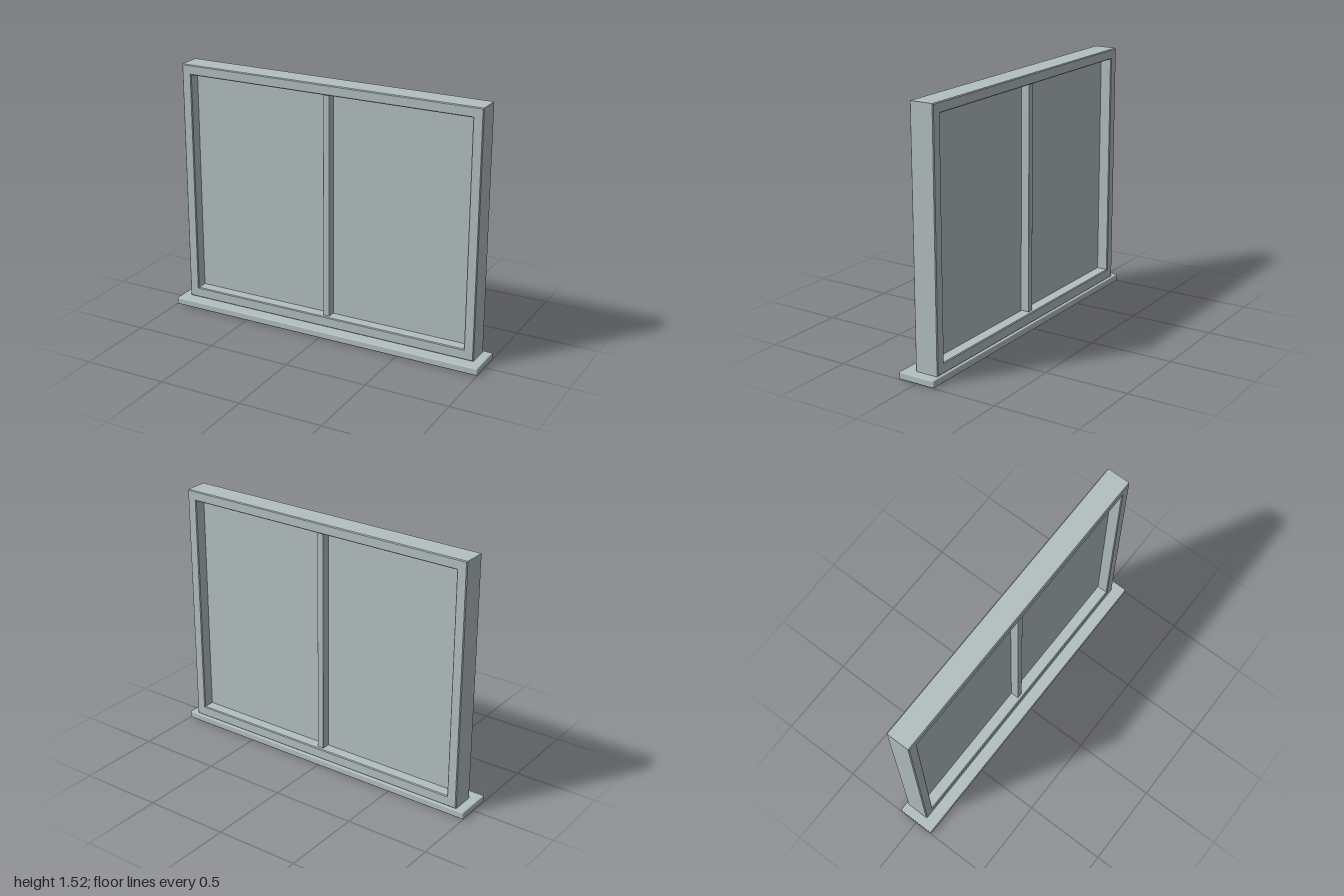
import * as THREE from 'three';
import { RoundedBoxGeometry } from 'three/addons/geometries/RoundedBoxGeometry.js';

// Traces a rectangle onto a shape or path
function rect(path, x0, y0, x1, y1) {
  path.moveTo(x0, y0);
  path.lineTo(x1, y0);
  path.lineTo(x1, y1);
  path.lineTo(x0, y1);
  path.closePath();
  return path;
}

export function createModel() {
  const group = new THREE.Group();
  const paint = new THREE.MeshStandardMaterial({ color: 0xb4bfc0 });
  paint.name = 'pale grey';

  const add = (name, geometry, x, y, z) => {
    const mesh = new THREE.Mesh(geometry, paint);
    mesh.name = name;
    mesh.position.set(x, y, z);
    group.add(mesh);
  };

  const midZ = -0.03;   // centre plane of the window
  const depth = 0.146;
  const bevel = 0.005;

  // Sill with softened edges
  add('sill', new RoundedBoxGeometry(2, 0.043, 0.23, 2, 0.007), 0, 0.0215, 0);

  // Outer frame with a rectangular opening
  const outline = rect(new THREE.Shape(), -0.945, 0.043, 0.945, 1.52);
  outline.holes.push(rect(new THREE.Path(), -0.885, 0.106, 0.885, 1.46));
  const frame = new THREE.ExtrudeGeometry(outline, {
    depth: depth - 2 * bevel,
    bevelEnabled: true,
    bevelSize: bevel,
    bevelThickness: bevel,
    bevelOffset: -bevel,
    bevelSegments: 1,
  });
  add('frame', frame, 0, 0, midZ - depth / 2 + bevel);

  // Pane, seated slightly into the frame
  add('pane', new THREE.BoxGeometry(1.78, 1.364, 0.008), 0, 0.783, midZ);

  // Central mullion, proud of the pane on both sides
  add('mullion', new RoundedBoxGeometry(0.04, 1.354, 0.11, 1, 0.003), 0, 0.783, midZ);

  return group;
}
